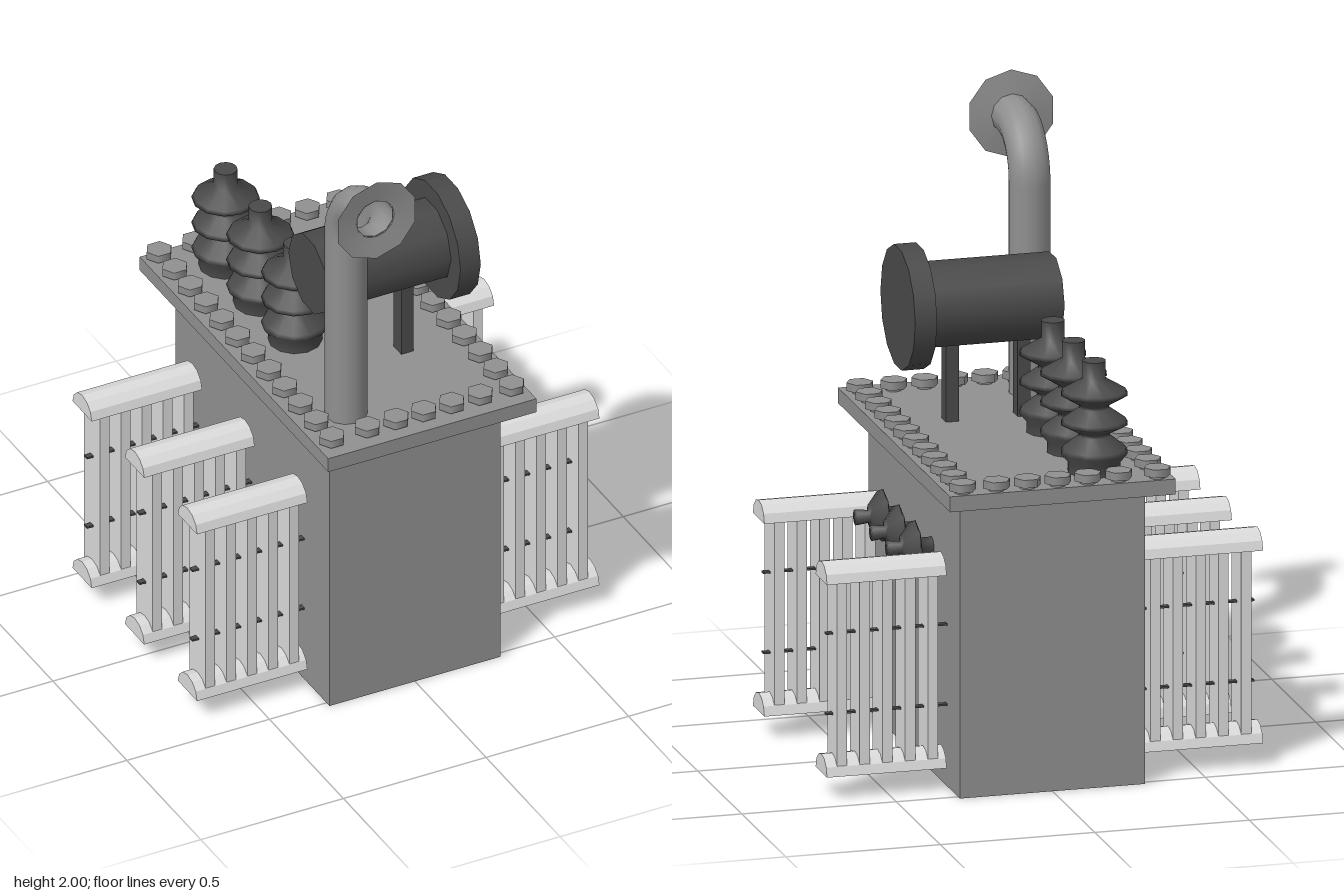
import * as THREE from 'three';

const tankGrey = new THREE.MeshStandardMaterial({ color: 0x909090 });
tankGrey.name = 'tank grey';
const pipeGrey = new THREE.MeshStandardMaterial({ color: 0x909090, side: THREE.DoubleSide });
pipeGrey.name = 'pipe grey';
const paleGrey = new THREE.MeshStandardMaterial({ color: 0xdadada });
paleGrey.name = 'radiator pale grey';
const darkGrey = new THREE.MeshStandardMaterial({ color: 0x4a4a4a });
darkGrey.name = 'dark grey';

function add(parent, name, geometry, material, x = 0, y = 0, z = 0) {
  const mesh = new THREE.Mesh(geometry, material);
  mesh.name = name;
  mesh.position.set(x, y, z);
  parent.add(mesh);
  return mesh;
}

const box = (w, h, d) => new THREE.BoxGeometry(w, h, d);
const lathe = (points, sides) =>
  new THREE.LatheGeometry(points.map(([r, y]) => new THREE.Vector2(r, y)), sides);

// Domed header bar running along x, flat side down
function headerGeometry(length, halfWidth, height) {
  const shape = new THREE.Shape();
  const steps = 6;
  for (let i = 0; i <= steps; i++) {
    const a = (Math.PI * i) / steps;
    const px = halfWidth * Math.cos(a), py = height * Math.sin(a);
    if (i === 0) shape.moveTo(px, py);
    else shape.lineTo(px, py);
  }
  shape.closePath();
  const g = new THREE.ExtrudeGeometry(shape, { depth: length, bevelEnabled: false });
  g.translate(0, 0, -length / 2);
  g.rotateY(Math.PI / 2);
  return g;
}

// Cooling radiator: two headers, five fins, two thin tie rods
function radiator(side, z) {
  const group = new THREE.Group();
  group.name = 'radiator';
  const header = headerGeometry(0.387, 0.065, 0.06);
  add(group, 'topHeader', header, paleGrey, side * 0.512, 0.7, z);
  add(group, 'bottomHeader', header, paleGrey, side * 0.512, 0.076, z);
  for (let i = 0; i < 5; i++) {
    add(group, 'fin', box(0.033, 0.605, 0.11), paleGrey, side * (0.36 + 0.0735 * i), 0.4, z);
  }
  for (const y of [0.265, 0.525]) {
    add(group, 'tieRod', box(0.4, 0.006, 0.02), darkGrey, side * 0.493, y, z);
  }
  return group;
}

// Hexagonal bolt with a narrow shank
function bolt(x, z) {
  const group = new THREE.Group();
  group.name = 'bolt';
  const head = new THREE.CylinderGeometry(0.043, 0.043, 0.026, 6);
  head.rotateY(Math.PI / 6);
  add(group, 'boltHead', head, tankGrey, 0, 1.037, 0);
  add(group, 'boltShank', new THREE.CylinderGeometry(0.025, 0.025, 0.02, 8), tankGrey, 0, 1.018, 0);
  group.position.set(x, 0, z);
  return group;
}

export function createModel() {
  const model = new THREE.Group();
  model.name = 'transformer';

  // Tank and lid
  add(model, 'tank', box(0.6, 0.97, 1.04), tankGrey, 0, 0.485, 0);
  add(model, 'lid', box(0.73, 0.05, 1.274), tankGrey, 0, 0.99, 0);

  // Bolts around the lid
  for (let i = 0; i < 12; i++) {
    for (const x of [-0.315, 0.315]) model.add(bolt(x, -0.603 + 0.1062 * i));
  }
  for (const x of [-0.19, -0.09, 0.007, 0.105, 0.205]) {
    for (const z of [-0.603, 0.565]) model.add(bolt(x, z));
  }

  // Radiators: three on the right, two on the left
  for (const z of [-0.37, -0.015, 0.342]) model.add(radiator(-1, z));
  for (const z of [-0.37, 0.342]) model.add(radiator(1, z));

  // Tall ribbed insulators on the lid
  const ribbed = lathe([
    [0.085, 0], [0.085, 0.035], [0.107, 0.062], [0.1, 0.075], [0.05, 0.115],
    [0.05, 0.125], [0.107, 0.155], [0.1, 0.167], [0.048, 0.205],
    [0.048, 0.215], [0.107, 0.25], [0.1, 0.262], [0.037, 0.3],
    [0.037, 0.358], [0.037, 0.358], [0, 0.358],
  ], 12);
  for (const z of [-0.477, -0.242, -0.007]) {
    add(model, 'tallInsulator', ribbed, darkGrey, -0.147, 1.015, z);
  }

  // Small insulators on the left wall, pointing outwards
  const small = lathe([
    [0.028, 0], [0.028, 0.05], [0.085, 0.055], [0.085, 0.06],
    [0.04, 0.098], [0.021, 0.103], [0.026, 0.146], [0, 0.146],
  ], 8);
  small.rotateZ(-Math.PI / 2);
  for (const z of [-0.2, -0.018, 0.164]) {
    add(model, 'sideInsulator', small, darkGrey, 0.298, 0.732, z);
  }

  // Oil drum lying across the lid on two legs
  const drum = new THREE.CylinderGeometry(0.135, 0.135, 0.434, 10);
  drum.rotateZ(-Math.PI / 2);
  add(model, 'oilDrum', drum, darkGrey, 0.013, 1.395, 0.193);
  const flange = new THREE.CylinderGeometry(0.198, 0.198, 0.071, 14);
  flange.rotateZ(-Math.PI / 2);
  add(model, 'drumFlange', flange, darkGrey, 0.262, 1.393, 0.193);
  for (const x of [-0.105, 0.127]) {
    add(model, 'drumLeg', box(0.042, 0.29, 0.052), darkGrey, x, 1.155, 0.197);
  }

  // Bent vent pipe with a flared mouth facing the front
  const path = new THREE.CurvePath();
  const p = (y, z) => new THREE.Vector3(-0.197, y, z);
  const k = 0.16 * 0.552;
  path.add(new THREE.LineCurve3(p(1.01, 0.433), p(1.697, 0.433)));
  path.add(new THREE.CubicBezierCurve3(
    p(1.697, 0.433), p(1.697 + k, 0.433), p(1.857, 0.593 - k), p(1.857, 0.593)));
  path.add(new THREE.LineCurve3(p(1.857, 0.593), p(1.857, 0.632)));
  add(model, 'ventPipe', new THREE.TubeGeometry(path, 40, 0.067, 12, false), pipeGrey);
  const mouth = lathe([[0.065, 0], [0.142, 0.011]], 10);
  mouth.rotateX(Math.PI / 2);
  add(model, 'ventMouth', mouth, pipeGrey, -0.197, 1.858, 0.63);

  return model;
}
